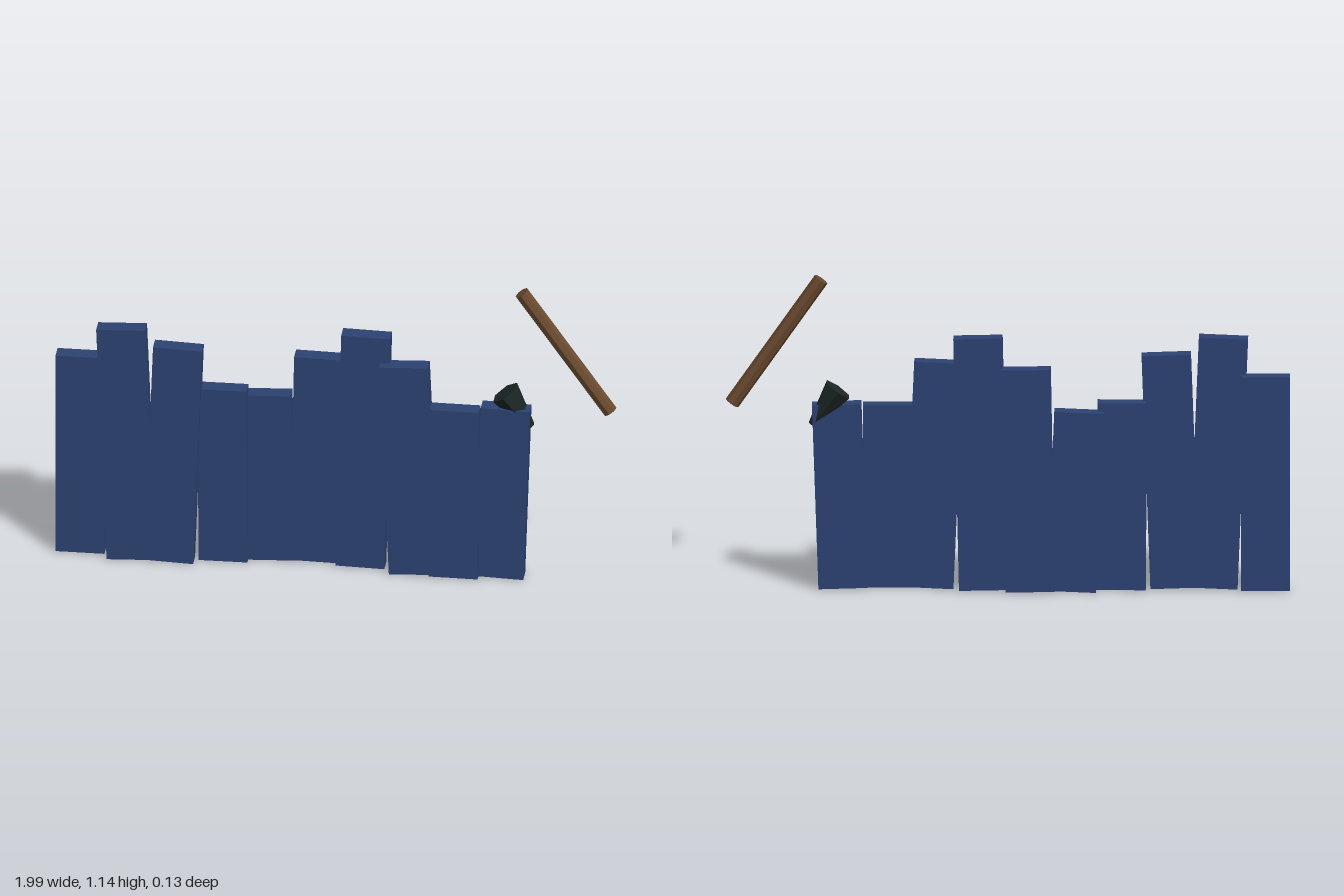
import * as THREE from 'three';

const material = (name, color) => Object.assign(new THREE.MeshStandardMaterial({ color, flatShading: true }), { name });

export function createModel() {
  const group = new THREE.Group();
  group.name = 'plankFence';
  const blue = material('plank blue', 0x2d4373);
  const wood = material('handle brown', 0x6b4a30);
  const iron = material('dark iron', 0x1c2826);

  const add = (name, geometry, mat, x, y, z, tilt) => {
    const mesh = new THREE.Mesh(geometry, mat);
    mesh.name = name;
    mesh.position.set(x, y, z);
    mesh.rotation.z = tilt;
    group.add(mesh);
  };

  // Upright planks: bottom centre x, height, depth offset, sideways lean
  const planks = [
    [-0.913, 0.785, -0.005, 0],
    [-0.727, 0.918, 0.028, 0.041],
    [-0.593, 0.855, 0.029, -0.037],
    [-0.403, 0.687, 0, 0.005],
    [-0.228, 0.66, -0.03, 0.04],
    [-0.082, 0.815, -0.037, -0.018],
    [0.083, 0.923, -0.013, -0.022],
    [0.277, 0.828, 0.02, 0.043],
    [0.42, 0.67, 0.028, -0.005],
    [0.58, 0.677, 0.008, -0.034],
  ];
  const bottom = 0.008;
  planks.forEach(([x, top, z, lean], i) => {
    const h = top - bottom;
    add(`plank${i + 1}`, new THREE.BoxGeometry(0.174, h, 0.06), blue,
      x - Math.sin(lean) * h / 2, bottom + Math.cos(lean) * h / 2, z, lean);
  });

  // Slanted handle and the parallel tapered head set into the last plank
  const slant = 0.61;
  add('handle', new THREE.CylinderGeometry(0.027, 0.027, 0.55, 8), wood, 0.815, 0.902, 0, slant);
  add('taperedHead', new THREE.CylinderGeometry(0.055, 0.018, 0.157, 6), iron, 0.643, 0.663, 0, slant);

  return group;
}
